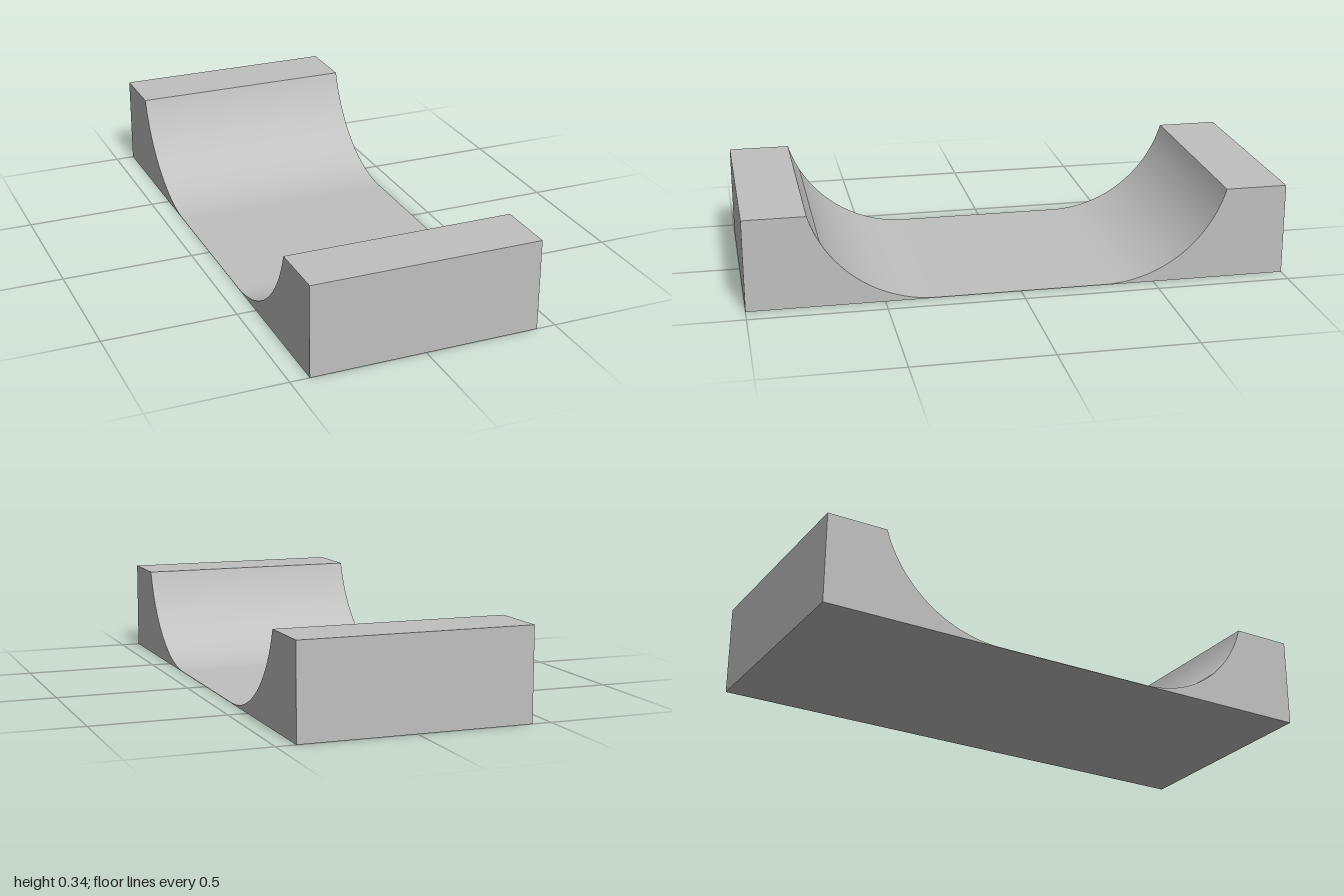
import * as THREE from 'three';
import { toCreasedNormals } from 'three/addons/utils/BufferGeometryUtils.js';

export function createModel() {
  const width = 0.857, height = 0.343, floor = 0.002;
  const deck = 0.771;  // inner edge of each deck
  const flat = 0.314;  // half length of the flat floor
  const run = deck - flat, rise = height - floor;
  const radius = (run * run + rise * rise) / (2 * rise);
  const sweep = Math.asin(run / radius);
  const down = 1.5 * Math.PI;

  // Side profile: two decks joined by circular transitions and a thin flat floor
  const profile = new THREE.Shape();
  profile.moveTo(1, 0);
  profile.lineTo(1, height);
  profile.lineTo(deck, height);
  profile.absarc(flat, floor + radius, radius, down + sweep, down, true);
  profile.absarc(-flat, floor + radius, radius, down, down - sweep, true);
  profile.lineTo(-1, height);
  profile.lineTo(-1, 0);
  profile.closePath();

  const extruded = new THREE.ExtrudeGeometry(profile, {
    depth: width, bevelEnabled: false, curveSegments: 40,
  });
  extruded.translate(0, 0, -width / 2);
  extruded.rotateY(-Math.PI / 2);

  const concrete = new THREE.MeshStandardMaterial({ color: 0xc0c0c0 });
  concrete.name = 'concrete grey';

  const ramp = new THREE.Mesh(toCreasedNormals(extruded, 0.3), concrete);
  ramp.name = 'halfPipeRamp';

  const model = new THREE.Group();
  model.name = 'halfPipe';
  model.add(ramp);
  return model;
}
